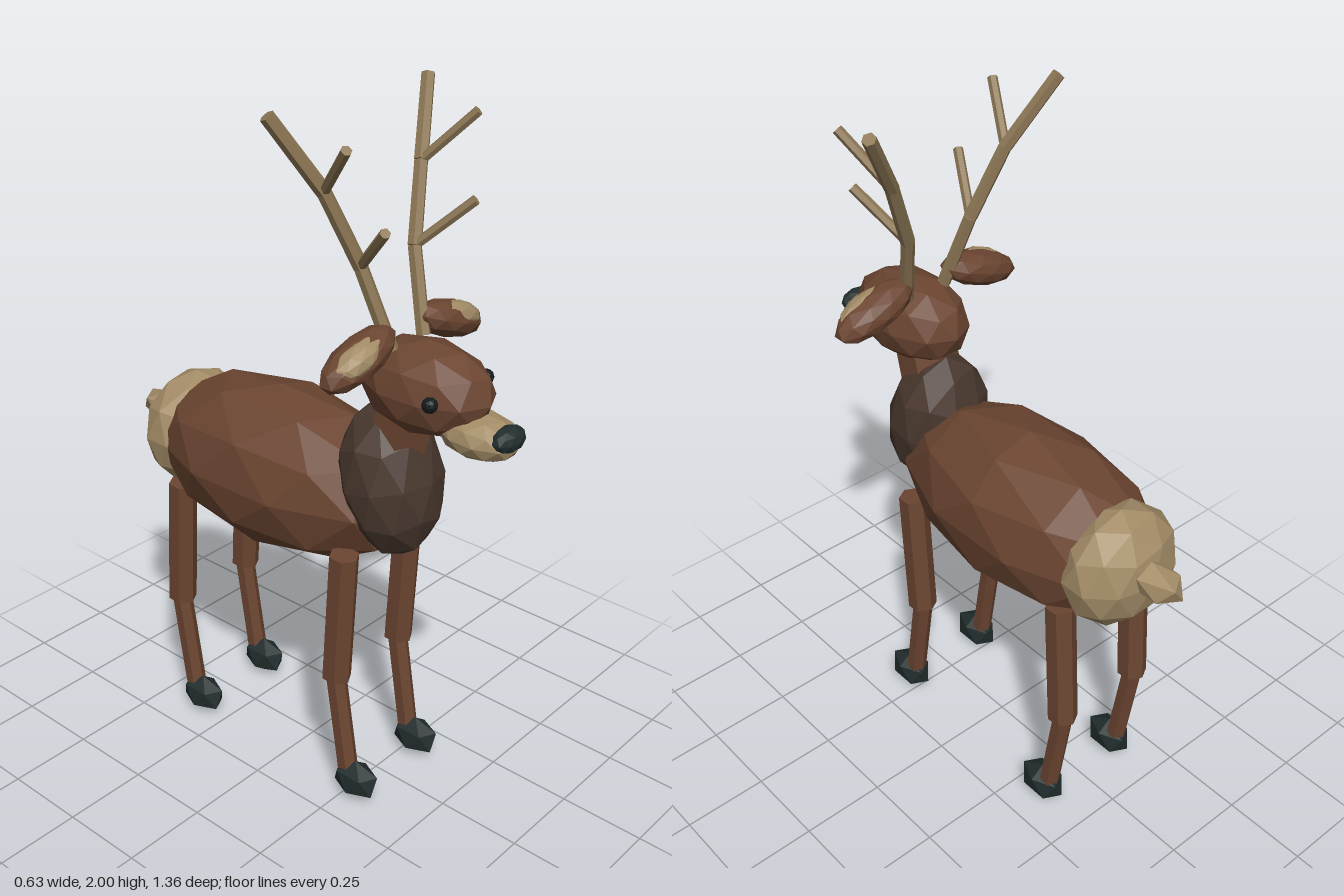
import * as THREE from 'three';

const material = (name, color) => {
  const m = new THREE.MeshStandardMaterial({ color, flatShading: true });
  m.name = name;
  return m;
};

export function createModel() {
  const deer = new THREE.Group();
  deer.name = 'deer';
  const fur = material('brown fur', 0x6b4531);
  const mane = material('dark brown fur', 0x48372d);
  const cream = material('tan fur', 0xa28b66);
  const horn = material('antler horn', 0x8d7755);
  const dark = material('hoof and nose black', 0x222d2d);
  const eyeDark = material('eye black', 0x14191b);

  // Faceted ellipsoid with a vertex at each pole
  function blob(name, mat, pos, radii, detail = 1, rot = [0, 0, 0], parent = deer) {
    const g = new THREE.IcosahedronGeometry(1, detail);
    g.rotateX(-Math.atan((1 + Math.sqrt(5)) / 2));
    g.rotateY(Math.PI / 2);
    g.scale(...radii);
    const mesh = new THREE.Mesh(g, mat);
    mesh.name = name;
    mesh.position.set(...pos);
    mesh.rotation.set(...rot);
    parent.add(mesh);
    return mesh;
  }

  // Six-sided rod between two points
  function rod(name, mat, from, to, r0, r1 = r0, parent = deer) {
    const a = new THREE.Vector3(...from);
    const b = new THREE.Vector3(...to);
    const dir = b.clone().sub(a);
    const mesh = new THREE.Mesh(new THREE.CylinderGeometry(r1, r0, dir.length(), 6), mat);
    mesh.name = name;
    mesh.position.copy(a).add(b).multiplyScalar(0.5);
    mesh.quaternion.setFromUnitVectors(new THREE.Vector3(0, 1, 0), dir.normalize());
    parent.add(mesh);
    return mesh;
  }

  // Torso, neck and rump
  blob('body', fur, [0, 0.9, -0.115], [0.237, 0.245, 0.47]);
  blob('chest', mane, [0, 0.99, 0.28], [0.152, 0.225, 0.14], 1, [-0.2, 0, 0]);
  rod('neck', fur, [0, 0.98, 0.265], [0, 1.26, 0.34], 0.09, 0.085);
  blob('rump', cream, [0, 0.908, -0.465], [0.18, 0.178, 0.13]);
  blob('tail', cream, [0, 0.93, -0.58], [0.06, 0.053, 0.118], 0);

  // Head
  blob('head', fur, [0, 1.29, 0.385], [0.13, 0.127, 0.2]);
  blob('muzzle', cream, [0, 1.208, 0.555], [0.086, 0.06, 0.117], 1, [0.05, 0, 0]);
  blob('nose', dark, [0, 1.222, 0.642], [0.058, 0.035, 0.036]);

  for (const s of [1, -1]) {
    const side = s > 0 ? 'left' : 'right';
    blob(side + 'Eye', eyeDark, [s * 0.117, 1.305, 0.485], [0.021, 0.021, 0.021]);

    // Ears droop outward, with a paler inner patch
    blob(side + 'Ear', fur, [s * 0.183, 1.4, 0.31], [0.135, 0.052, 0.062], 1, [0, 0, -s * 0.33]);
    blob(side + 'InnerEar', cream, [s * 0.2, 1.408, 0.325], [0.092, 0.04, 0.045], 1, [0, 0, -s * 0.33]);

    // Antler: three-part beam with two forward tines
    const antler = new THREE.Group();
    antler.name = side + 'Antler';
    deer.add(antler);
    const beam = [[0.065, 1.39, 0.32], [0.107, 1.605, 0.25], [0.187, 1.8, 0.2], [0.302, 1.99, 0.125]]
      .map(([x, y, z]) => [s * x, y, z]);
    for (let i = 0; i < 3; i++) rod('beam', horn, beam[i], beam[i + 1], 0.02, 0.019, antler);
    rod('lowerTine', horn, beam[1], [s * 0.178, 1.735, 0.383], 0.014, 0.014, antler);
    rod('upperTine', horn, beam[2], [s * 0.252, 1.935, 0.325], 0.014, 0.014, antler);

    // Legs: upper, lower and hoof
    for (const [end, z] of [['Front', 0], ['Back', -0.627]]) {
      const leg = new THREE.Group();
      leg.name = side + end + 'Leg';
      leg.position.set(s * 0.138, 0, z);
      deer.add(leg);
      rod('upperLeg', fur, [0, 0.79, 0.234], [0, 0.385, 0.211], 0.043, 0.043, leg);
      rod('lowerLeg', fur, [0, 0.395, 0.208], [0, 0.07, 0.26], 0.03, 0.03, leg);
      blob('hoof', dark, [0, 0.062, 0.287], [0.05, 0.06, 0.08], 0, [0, 0, 0], leg);
    }
  }
  return deer;
}
